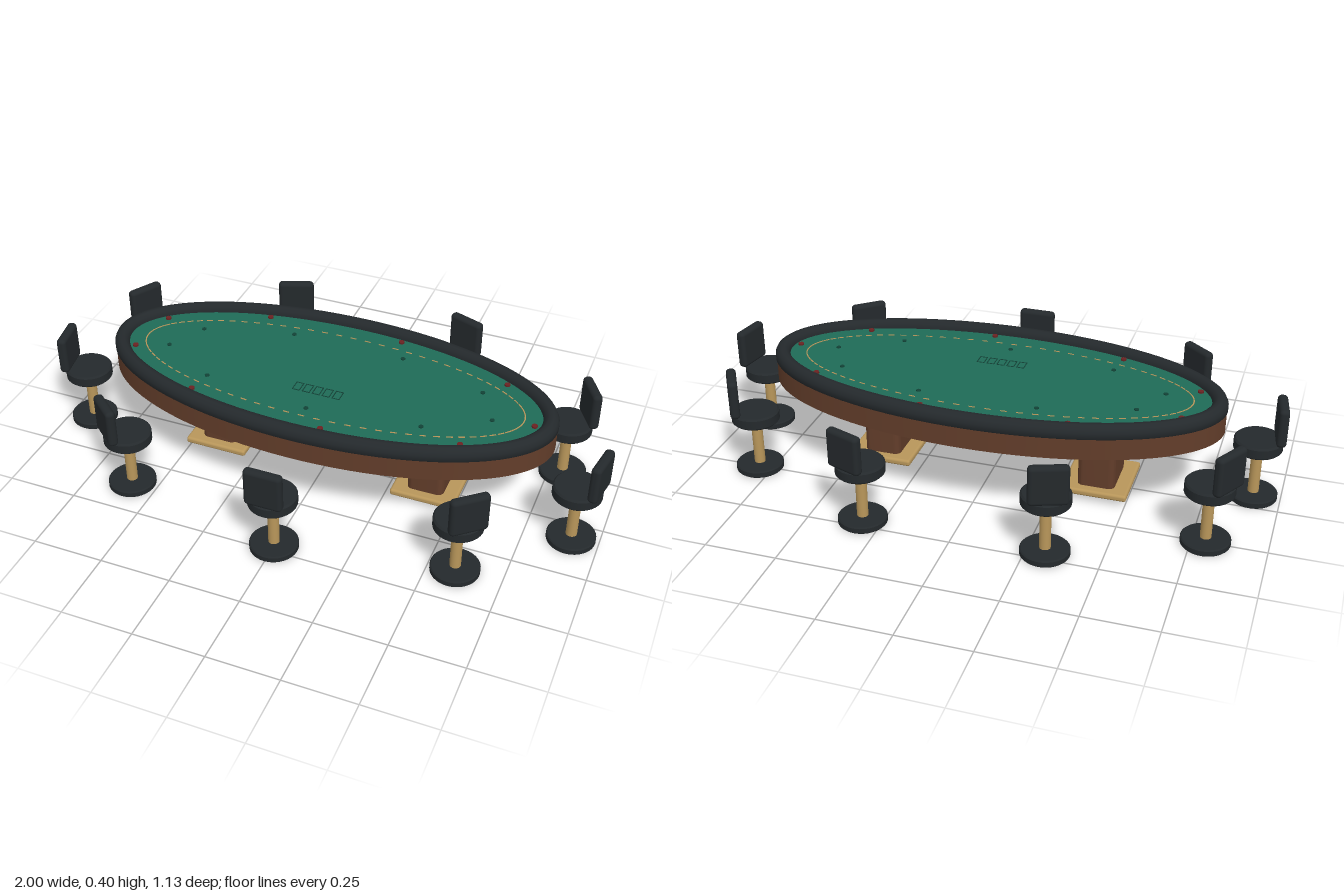
import * as THREE from 'three';
import { RoundedBoxGeometry } from 'three/addons/geometries/RoundedBoxGeometry.js';
import { toCreasedNormals } from 'three/addons/utils/BufferGeometryUtils.js';

const material = (color) => new THREE.MeshStandardMaterial({ color });
const leather = material(0x24292c);
const wood = material(0x623d2a);
const gold = material(0xb8965a);
const felt = material(0x1f6b57);
const darkGreen = material(0x124236);
const red = material(0x6b2222);

const HALF_X = 0.8, HALF_Z = 0.355, CENTRE_Z = -0.01, FELT_Y = 0.373;

function add(parent, name, geometry, mat, x = 0, y = 0, z = 0) {
  const mesh = new THREE.Mesh(geometry, mat);
  mesh.name = name;
  mesh.position.set(x, y, z);
  parent.add(mesh);
  return mesh;
}

// Round disc with softened rims, standing on y = 0
function discGeometry(radius, height, bevel) {
  const points = [
    [0, 0], [radius - bevel, 0], [radius, bevel],
    [radius, height - bevel], [radius - bevel, height], [0, height],
  ].map(([r, y]) => new THREE.Vector2(r, y));
  return toCreasedNormals(new THREE.LatheGeometry(points, 32), 0.6);
}

// Padded rail: a lathed ring stretched to an oval of constant width
function railGeometry() {
  const points = [
    [0.95, 0.35], [0.997, 0.35], [1.003, 0.357], [1.003, 0.377], [0.996, 0.391],
    [0.983, 0.4], [0.968, 0.4], [0.956, 0.391], [0.95, 0.378], [0.95, 0.35],
  ].map(([r, y]) => new THREE.Vector2(r, y));
  const geometry = new THREE.LatheGeometry(points, 96);
  const p = geometry.attributes.position;
  for (let i = 0; i < p.count; i++) {
    const x = p.getX(i), z = p.getZ(i), r = Math.hypot(x, z);
    p.setX(i, (x / r) * (HALF_X + r - 1));
    p.setZ(i, (z / r) * (HALF_Z + r - 1));
  }
  return toCreasedNormals(geometry, 0.9);
}

// Upright column with rounded vertical corners
function columnGeometry(width, depth, height, r) {
  const w = width / 2, d = depth / 2;
  const shape = new THREE.Shape();
  shape.absarc(w - r, d - r, r, 0, Math.PI / 2);
  shape.absarc(-w + r, d - r, r, Math.PI / 2, Math.PI);
  shape.absarc(-w + r, -d + r, r, Math.PI, Math.PI * 1.5);
  shape.absarc(w - r, -d + r, r, Math.PI * 1.5, Math.PI * 2);
  const geometry = new THREE.ExtrudeGeometry(shape, { depth: height, bevelEnabled: false, curveSegments: 6 });
  geometry.rotateX(-Math.PI / 2);
  return toCreasedNormals(geometry, 0.6);
}

function buildTable() {
  const table = new THREE.Group();
  table.name = 'table';
  table.position.z = CENTRE_Z;

  const oval = new THREE.CylinderGeometry(1, 1, 1, 96);
  add(table, 'woodenApron', oval, wood, 0, 0.317, 0).scale.set(HALF_X, 0.074, HALF_Z);
  add(table, 'feltTop', oval, felt, 0, FELT_Y - 0.01, 0).scale.set(HALF_X - 0.045, 0.02, HALF_Z - 0.045);
  add(table, 'paddedRail', railGeometry(), leather);

  // Two pedestals on gold plates
  const column = columnGeometry(0.13, 0.18, 0.27, 0.022);
  const plate = new RoundedBoxGeometry(0.23, 0.024, 0.245, 3, 0.009);
  for (const side of [-1, 1]) {
    add(table, 'pedestalColumn', column, wood, side * 0.39, 0.017, 0);
    add(table, 'pedestalPlate', plate, gold, side * 0.39, 0.033, 0);
  }

  // Dashed oval line
  const dashes = 80;
  const dash = new THREE.BoxGeometry(0.022, 0.002, 0.004);
  for (let i = 0; i < dashes; i++) {
    const a = (i / dashes) * Math.PI * 2;
    const x = 0.69 * Math.sin(a), z = 0.242 * Math.cos(a);
    const mesh = add(table, 'bettingLineDash', dash, gold, x, FELT_Y + 0.0005, z);
    mesh.rotation.y = Math.atan2(0.242 * Math.sin(a), 0.69 * Math.cos(a));
  }

  // Markers at each of the nine places
  const chip = new THREE.CylinderGeometry(0.01, 0.01, 0.006, 16);
  const button = new THREE.CylinderGeometry(0.008, 0.008, 0.004, 16);
  for (let i = 0; i < 9; i++) {
    const a = (i / 9) * Math.PI * 2, b = a + 0.117;
    add(table, 'redChip', chip, red, 0.73 * Math.sin(b), FELT_Y + 0.003, 0.288 * Math.cos(b));
    add(table, 'placeMarker', button, darkGreen, 0.6 * Math.sin(a), FELT_Y + 0.001, 0.2 * Math.cos(a));
  }

  // Five outlined card spaces
  const longEdge = new THREE.BoxGeometry(0.003, 0.002, 0.044);
  const shortEdge = new THREE.BoxGeometry(0.028, 0.002, 0.003);
  for (let i = -2; i <= 2; i++) {
    const space = new THREE.Group();
    space.name = 'cardSpace';
    space.position.set(i * 0.036, FELT_Y + 0.0005, 0.095);
    for (const s of [-1, 1]) {
      add(space, 'cardLongEdge', longEdge, darkGreen, s * 0.0125, 0, 0);
      add(space, 'cardShortEdge', shortEdge, darkGreen, 0, 0, s * 0.0205);
    }
    table.add(space);
  }
  return table;
}

// Pedestal chair with its backrest on local +z
const chairParts = {
  foot: discGeometry(0.083, 0.025, 0.004),
  pole: new THREE.CylinderGeometry(0.019, 0.019, 0.18, 24),
  seat: discGeometry(0.083, 0.043, 0.006),
  back: new RoundedBoxGeometry(0.132, 0.14, 0.034, 4, 0.014),
};

function buildChair() {
  const chair = new THREE.Group();
  chair.name = 'chair';
  add(chair, 'chairFoot', chairParts.foot, leather);
  add(chair, 'chairPole', chairParts.pole, gold, 0, 0.11, 0);
  add(chair, 'chairSeat', chairParts.seat, leather, 0, 0.191, 0);
  add(chair, 'chairBack', chairParts.back, leather, 0, 0.302, 0.069);
  return chair;
}

export function createModel() {
  const model = new THREE.Group();
  model.name = 'cardTableSet';
  model.add(buildTable());

  // Nine chairs spaced around the oval
  for (let i = 0; i < 9; i++) {
    const a = (i / 9) * Math.PI * 2;
    const chair = buildChair();
    chair.position.set(0.92 * Math.sin(a), 0, 0.485 * Math.cos(a) + CENTRE_Z);
    chair.rotation.y = a;
    model.add(chair);
  }
  return model;
}
